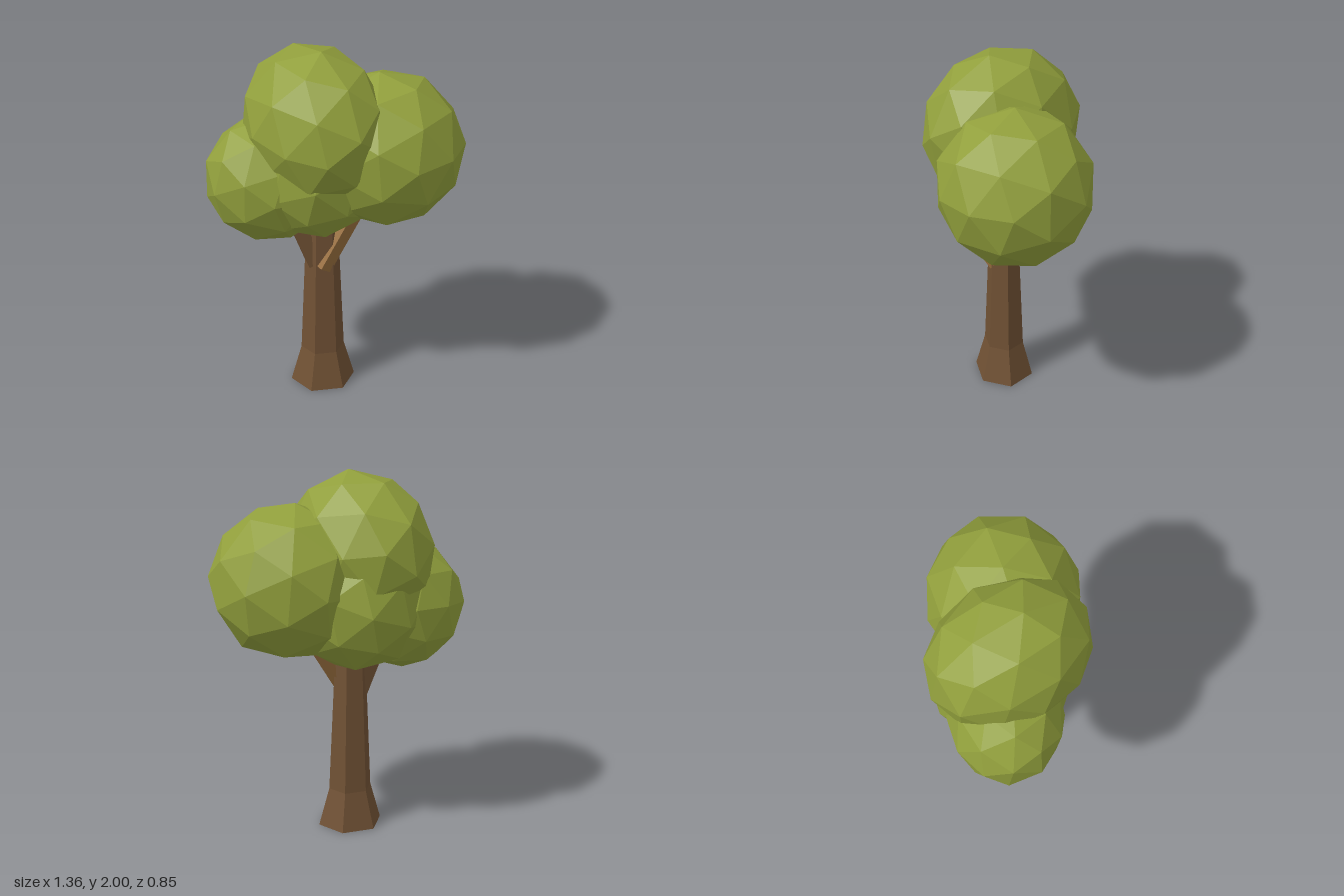
import * as THREE from 'three';

const mat = (name, color) => {
  const m = new THREE.MeshStandardMaterial({ color, flatShading: true });
  m.name = name;
  return m;
};

export function createModel() {
  const tree = new THREE.Group();
  tree.name = 'tree';
  const leaf = mat('leaf green', 0x919f3c);
  const bark = mat('bark brown', 0x705134);
  const lightBark = mat('light bark brown', 0x956c3c);

  const add = (name, geometry, material) => {
    const mesh = new THREE.Mesh(geometry, material);
    mesh.name = name;
    tree.add(mesh);
    return mesh;
  };

  // Six-sided trunk with a flared foot, slightly flattened front to back
  const profile = [[0, 0], [0.182, 0], [0.122, 0.215], [0.086, 1.02], [0, 1.1]]
    .map(([r, y]) => new THREE.Vector2(r, y));
  const trunk = add('trunk', new THREE.LatheGeometry(profile, 6, Math.PI / 2), bark);
  trunk.position.set(-0.072, 0, 0);
  trunk.scale.z = 0.93;

  // Square branches running from the trunk into the crown
  const branch = (name, from, to, width, roll, material) => {
    const a = new THREE.Vector3(...from), b = new THREE.Vector3(...to);
    const dir = b.clone().sub(a);
    const geometry = new THREE.BoxGeometry(width, dir.length(), width).rotateY(roll);
    const mesh = add(name, geometry, material);
    mesh.position.copy(a).add(b).multiplyScalar(0.5);
    mesh.quaternion.setFromUnitVectors(new THREE.Vector3(0, 1, 0), dir.normalize());
  };
  branch('rightBranch', [-0.085, 0.752, 0.062], [0.16, 1.15, -0.01], 0.075, 0.5, lightBark);
  branch('leftBranch', [-0.117, 0.765, 0.015], [-0.265, 1.15, 0], 0.08, 0.1, bark);

  // Faceted leaf clumps: centre, half-axes, turn of the facets, yaw of the clump
  const clumps = [
    ['topLeaves', [-0.115, 1.58, 0], [0.36, 0.42, 0.447], [0.2, 0.5, 0.1], 0.43],
    ['rightLeaves', [0.264, 1.43, 0.02], [0.412, 0.42, 0.405], [0.6, 0.2, 0.4], 0],
    ['leftLeaves', [-0.34, 1.277, -0.045], [0.34, 0.352, 0.305], [0.1, 0.9, 0.7], 0],
    ['middleLeaves', [-0.105, 1.325, -0.045], [0.385, 0.385, 0.375], [0.8, 0.4, 0.2], 0.43],
  ];
  for (const [name, centre, size, turn, yaw] of clumps) {
    const geometry = new THREE.IcosahedronGeometry(1, 1)
      .rotateX(turn[0]).rotateY(turn[1]).rotateZ(turn[2]);
    // Stretch the turned ball so it fills its half-axes exactly
    geometry.computeBoundingBox();
    const box = geometry.boundingBox;
    geometry.center();
    geometry.scale(
      2 * size[0] / (box.max.x - box.min.x),
      2 * size[1] / (box.max.y - box.min.y),
      2 * size[2] / (box.max.z - box.min.z));
    const clump = add(name, geometry, leaf);
    clump.position.set(...centre);
    clump.rotation.y = yaw;
  }
  return tree;
}
